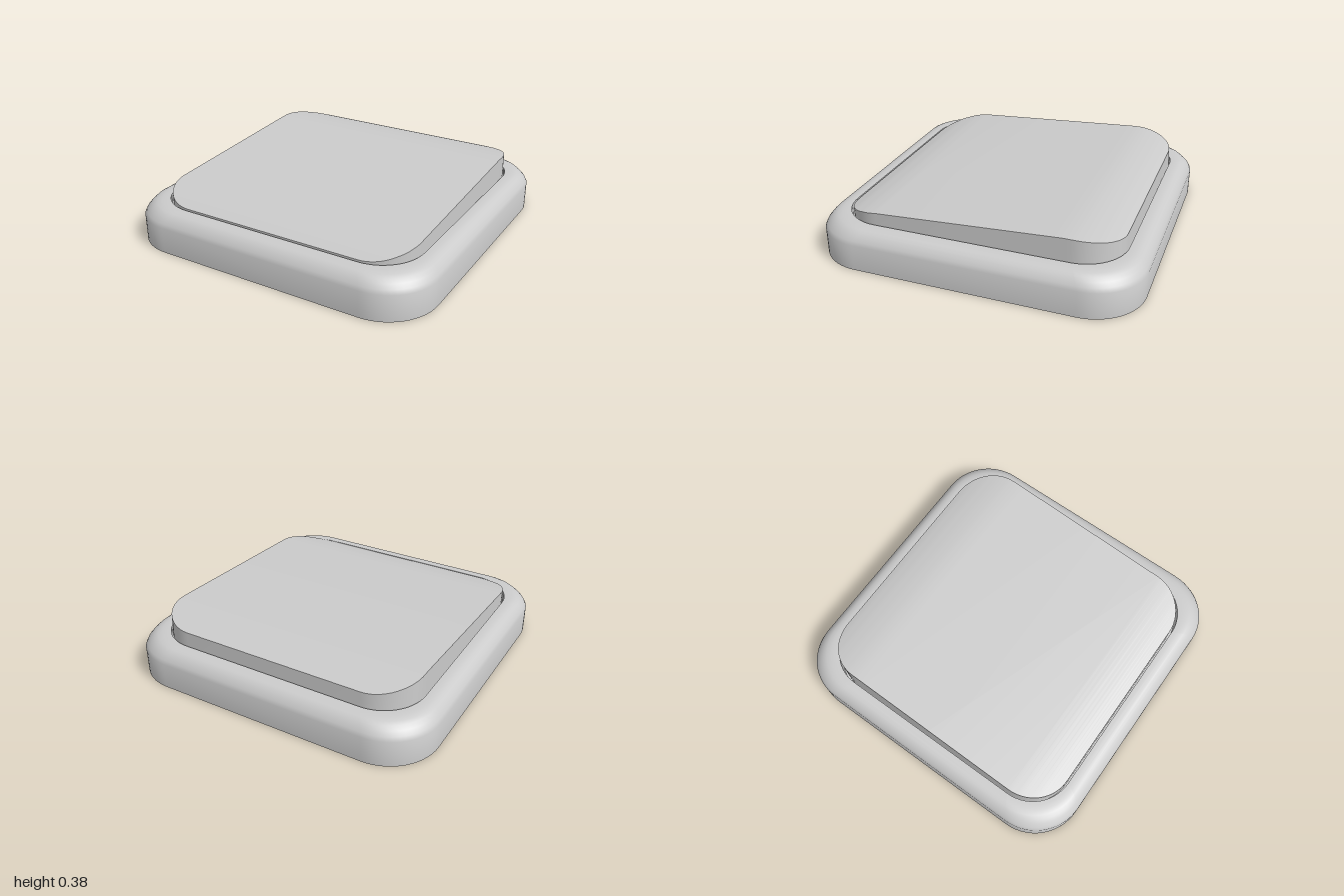
import * as THREE from 'three';
import { toCreasedNormals } from 'three/addons/utils/BufferGeometryUtils.js';

const material = new THREE.MeshStandardMaterial({ color: 0xcccccc });
const CORNER = 14;

// Skin a list of closed rings that all have the same number of points
function loft(rings) {
  const n = rings[0].length;
  const index = [];
  for (let i = 0; i < rings.length - 1; i++) {
    for (let j = 0; j < n; j++) {
      const a = i * n + j, b = i * n + (j + 1) % n;
      index.push(a, a + n, b + n, a, b + n, b);
    }
  }
  const geometry = new THREE.BufferGeometry();
  geometry.setAttribute('position', new THREE.Float32BufferAttribute(rings.flat(2), 3));
  geometry.setIndex(index);
  return toCreasedNormals(geometry, Math.PI / 6);
}

// Horizontal rounded square at height y
function roundedRing(half, radius, y) {
  const ring = [];
  for (let q = 0; q < 4; q++) {
    const mid = (q + 0.5) * Math.PI / 2;
    const cx = Math.sign(Math.cos(mid)) * (half - radius);
    const cz = Math.sign(Math.sin(mid)) * (half - radius);
    for (let k = 0; k <= CORNER; k++) {
      const a = (q + k / CORNER) * Math.PI / 2;
      ring.push([cx + radius * Math.cos(a), y, cz + radius * Math.sin(a)]);
    }
  }
  return ring;
}

// Frame: bottom, outer wall, rounded shoulder, flat rim, recess wall and floor
function frameGeometry() {
  const profile = [
    [0, 0, 0], [1, 0.32, 0], [1, 0.32, 0.165], [0.99, 0.318, 0.19],
    [0.973, 0.312, 0.213], [0.955, 0.305, 0.232], [0.935, 0.297, 0.243],
    [0.91, 0.285, 0.249], [0.885, 0.275, 0.25], [0.868, 0.268, 0.25],
    [0.868, 0.268, 0.12], [0, 0, 0.12],
  ];
  return loft(profile.map(([half, radius, y]) => roundedRing(half, radius, y)));
}

// Height of the rocker's tilted top, from back to front
const TOP = [
  [-0.855, 0.338], [-0.82, 0.35], [-0.76, 0.365], [-0.69, 0.377],
  [-0.62, 0.384], [-0.56, 0.385], [-0.5, 0.382], [0.6, 0.32],
  [0.68, 0.307], [0.77, 0.285], [0.855, 0.254],
];
function topHeight(z) {
  const i = Math.max(1, TOP.findIndex((p) => p[0] >= z - 1e-6));
  const [z0, y0] = TOP[i - 1], [z1, y1] = TOP[i];
  return THREE.MathUtils.mapLinear(z, z0, z1, y0, y1);
}

// Rocker: cross-sections from back to front, narrowing around the plan corners
function rockerGeometry() {
  const half = 0.855, radius = 0.26, bottom = 0.12;
  const inner = half - radius;
  const stations = [];
  for (let k = 0; k <= CORNER; k++) {
    const a = (k / CORNER) * Math.PI / 2;
    stations.push([inner + radius * Math.cos(a), inner + radius * Math.sin(a)]);
  }
  const rows = stations.map(([z, w]) => [-z, w]);
  for (const z of [-0.56, -0.5, 0]) rows.push([z, half]);
  rows.push(...stations.reverse());

  const rings = rows.map(([z, w]) => {
    const t = topHeight(z);
    const zb = z < 0 ? z * 1.012 : z; // back wall leans slightly forward
    return [[-w, bottom, zb], [-w, t, z], [w, t, z], [w, bottom, zb]];
  });
  const cap = (ring) => {
    const mid = [0, 1, 2].map((c) => ring.reduce((s, p) => s + p[c], 0) / 4);
    return ring.map(() => mid);
  };
  return loft([cap(rings[0]), ...rings, cap(rings[rings.length - 1])]);
}

export function createModel() {
  const group = new THREE.Group();
  group.name = 'rockerSwitch';
  const parts = { frame: frameGeometry(), rocker: rockerGeometry() };
  for (const [name, geometry] of Object.entries(parts)) {
    const mesh = new THREE.Mesh(geometry, material);
    mesh.name = name;
    group.add(mesh);
  }
  return group;
}
